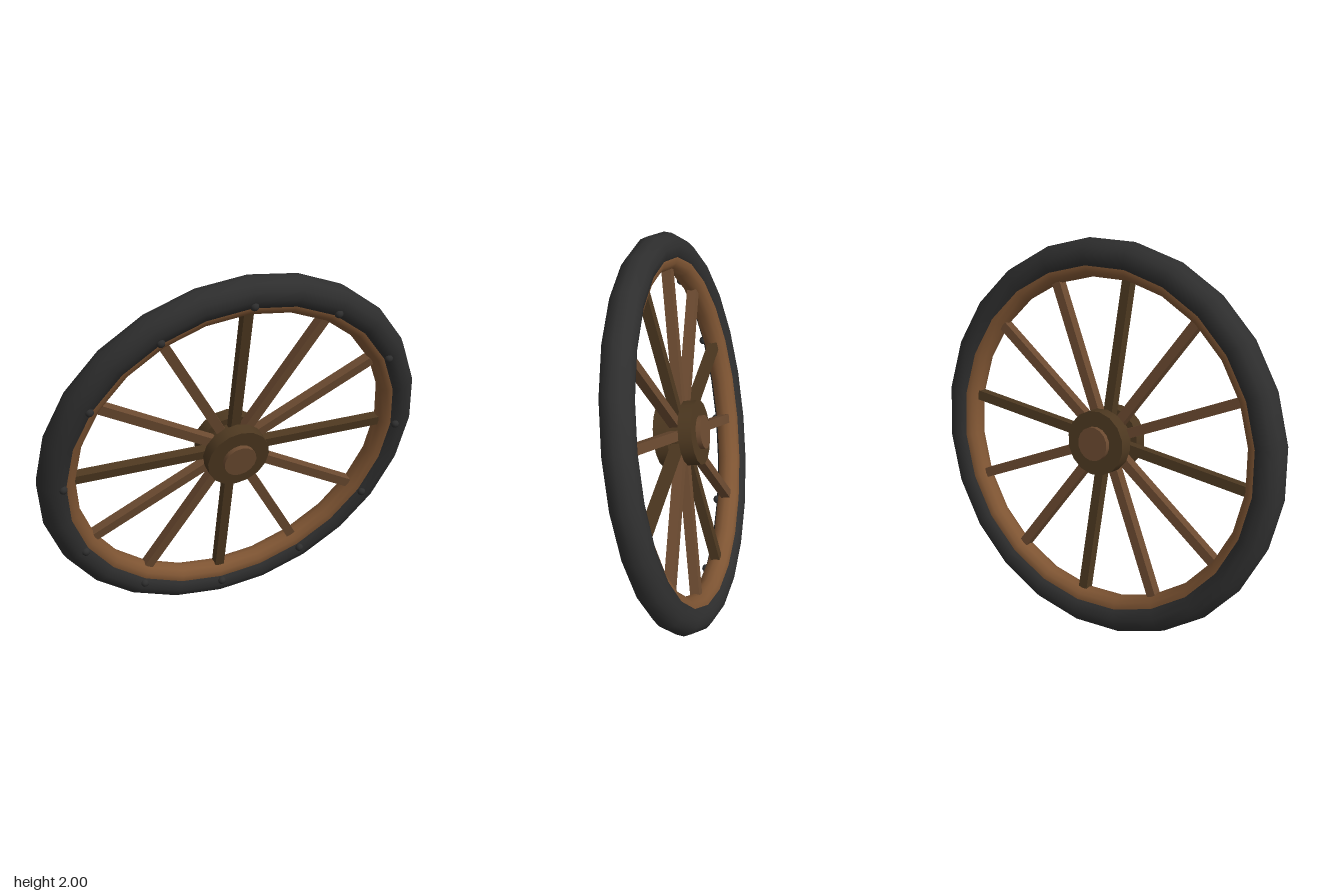
import * as THREE from 'three';

const mat = (name, color) => {
  const m = new THREE.MeshStandardMaterial({ color });
  m.name = name;
  return m;
};

export function createModel() {
  const tyreBlack = mat('tyre black', 0x2e2e2e);
  const rimWood = mat('rim wood', 0x7f5533);
  const spokeWood = mat('spoke wood', 0x6b4a30);
  const darkWood = mat('dark wood', 0x4d3820);

  // The wheel is built in the XY plane, facing +z, then tilted as a whole
  const wheel = new THREE.Group();
  wheel.name = 'wheel';
  const add = (name, geometry, material) => {
    const mesh = new THREE.Mesh(geometry, material);
    mesh.name = name;
    wheel.add(mesh);
    return mesh;
  };

  // Tyre with the wooden rim nested just inside it
  add('tyre', new THREE.TorusGeometry(0.943, 0.082, 12, 24), tyreBlack);
  add('rim', new THREE.TorusGeometry(0.89, 0.06, 12, 24), rimWood);

  // Hub: core, a flange on each side of the spokes, and an axle showing at both ends
  const disc = (name, radius, length, z, material) => {
    const g = new THREE.CylinderGeometry(radius, radius, length, 16);
    g.rotateX(Math.PI / 2);
    add(name, g, material).position.z = z;
  };
  disc('hubCore', 0.13, 0.16, 0, darkWood);
  disc('frontFlange', 0.167, 0.07, 0.065, darkWood);
  disc('backFlange', 0.167, 0.07, -0.065, darkWood);
  disc('axle', 0.087, 0.25, 0, spokeWood);

  // Spokes, every third one dark, with a rivet on the tyre's front at each end
  const spokeGeometry = new THREE.BoxGeometry(0.78, 0.05, 0.05);
  const rivetGeometry = new THREE.SphereGeometry(0.022, 10, 8);
  for (let i = 0; i < 12; i++) {
    const a = (i * Math.PI) / 6;
    const c = Math.cos(a), s = Math.sin(a);
    const spoke = add('spoke', spokeGeometry, i % 3 === 0 ? darkWood : spokeWood);
    spoke.position.set(0.47 * c, 0.47 * s, 0);
    spoke.rotation.z = a;
    add('rivet', rivetGeometry, tyreBlack).position.set(0.91 * c, 0.91 * s, 0.073);
  }

  // Lean forward, then turn about the upright axis
  wheel.rotation.set(0.23, 0.316, 0, 'YXZ');
  wheel.position.y = 1;

  const model = new THREE.Group();
  model.name = 'model';
  model.add(wheel);
  return model;
}
